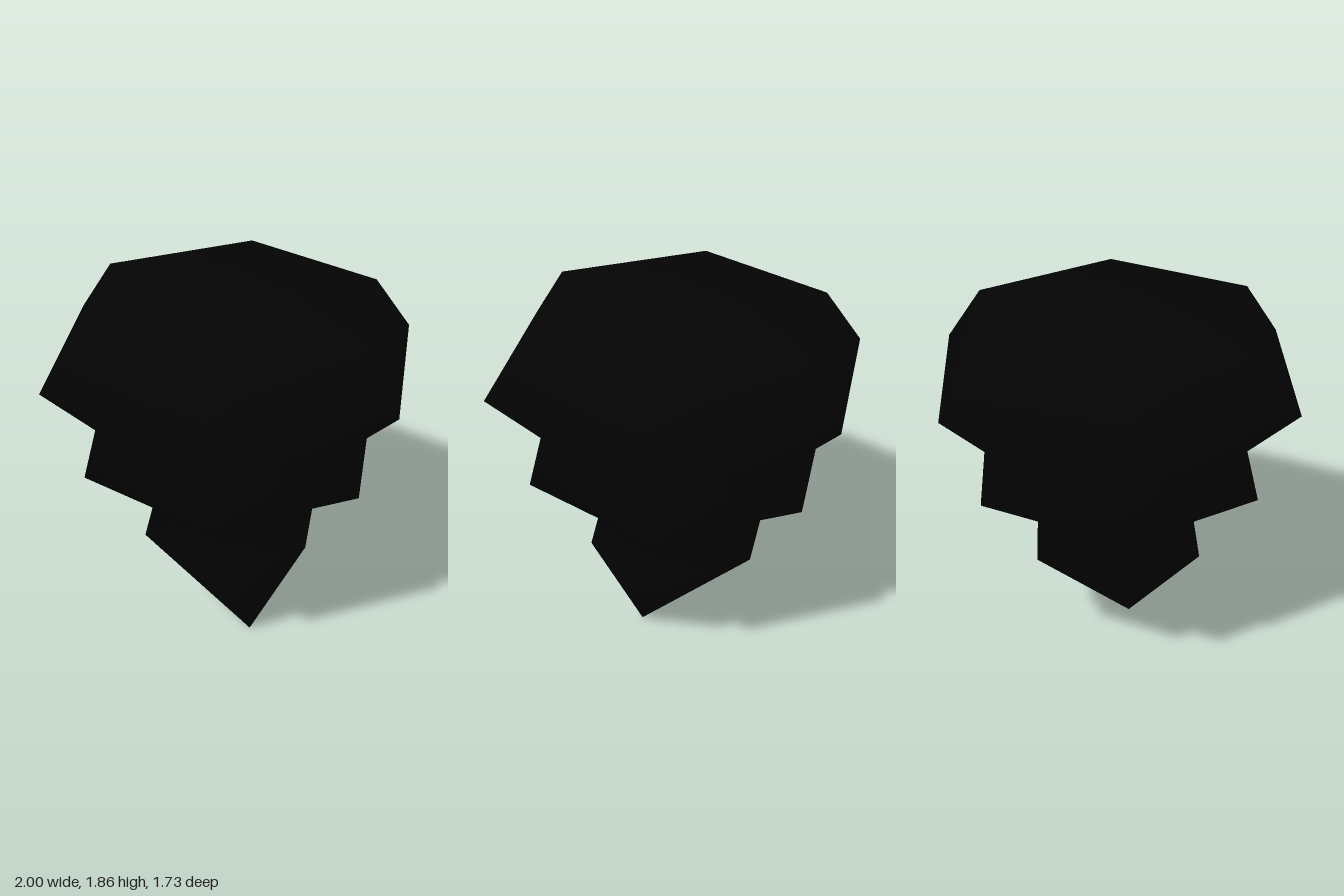
import * as THREE from 'three';
import { mergeVertices } from 'three/addons/utils/BufferGeometryUtils.js';

export function createModel() {
  const model = new THREE.Group();
  model.name = 'tieredHexagonalRock';
  const black = new THREE.MeshStandardMaterial({ color: 0x040404 });
  black.name = 'black';

  // Stepped profile from the bottom tip to the flat top: [radius, y]
  const profile = [
    [0, 0], [0.485, 0.615], [0.428, 0.82], [0.797, 1.04],
    [0.728, 1.3], [1, 1.56], [0.797, 1.855], [0, 1.855],
  ].map(([r, y]) => new THREE.Vector2(r, y));

  // Six sides, with corners on the x axis
  let body = new THREE.LatheGeometry(profile, 6, Math.PI / 2);

  // Pull the bottom tip off centre
  const p = body.attributes.position;
  for (let i = 0; i < p.count; i++) {
    if (p.getY(i) < 0.01) p.setXYZ(i, 0.185, 0, 0.075);
  }

  // Weld the seam and smooth the normals
  body.deleteAttribute('normal');
  body.deleteAttribute('uv');
  body = mergeVertices(body, 1e-4);
  body.computeVertexNormals();

  const mesh = new THREE.Mesh(body, black);
  mesh.name = 'rockBody';
  model.add(mesh);
  return model;
}
